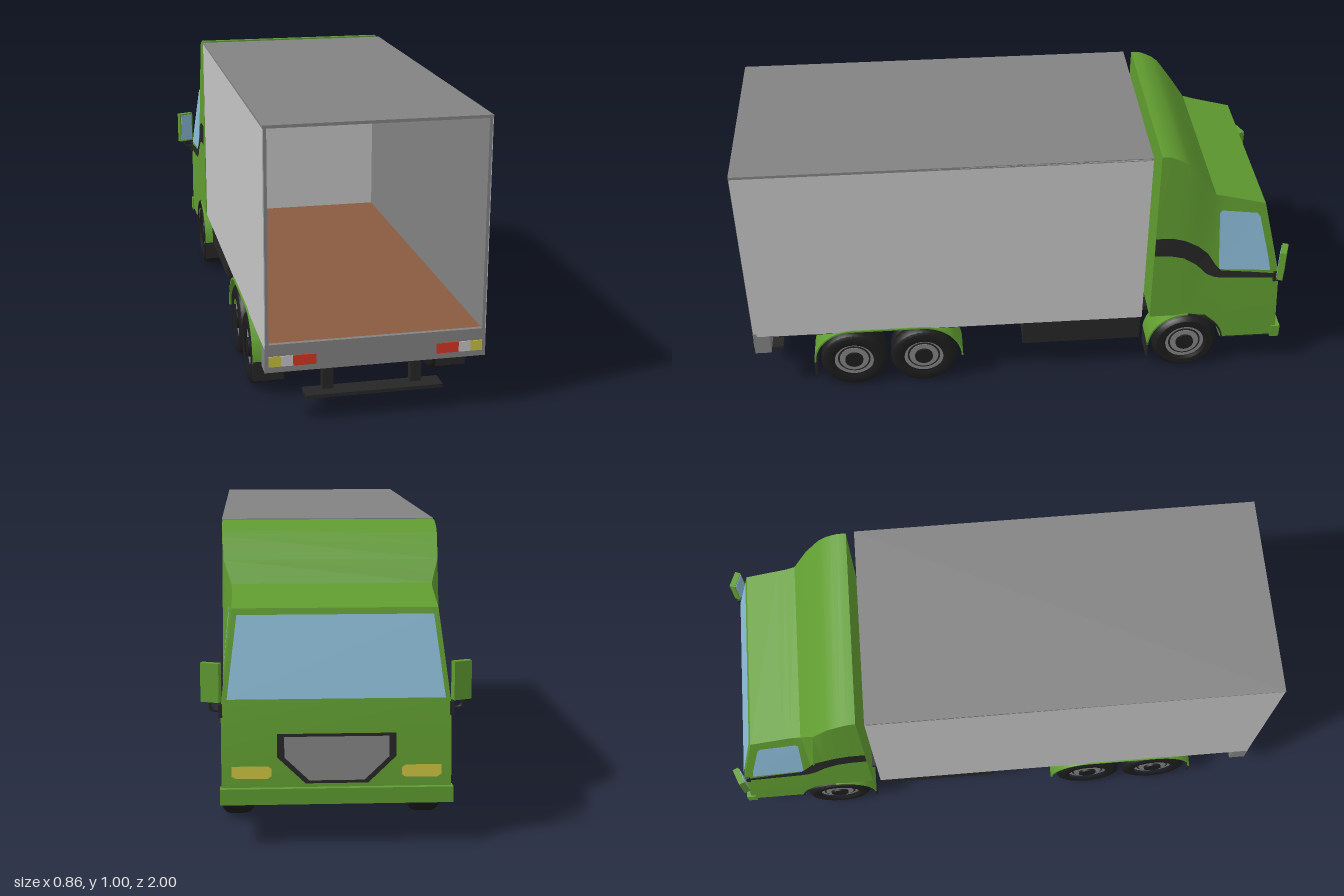
import * as THREE from 'three';
import { toCreasedNormals } from 'three/addons/utils/BufferGeometryUtils.js';

export function createModel() {
  const root = new THREE.Group();
  root.name = 'boxTruck';
  const mat = (name, color) => Object.assign(new THREE.MeshStandardMaterial({ color }), { name });
  const green = mat('cab green', 0x609c30), light = mat('panel light grey', 0xc4c4c4);
  const grey = mat('body grey', 0x828282), dark = mat('chassis black', 0x262626);
  const tyreMat = mat('tyre black', 0x1c1c1c), glass = mat('window blue', 0x8ab9d4);
  const brown = mat('floor brown', 0x8a5a40), red = mat('lamp red', 0xd43624);
  const yellow = mat('lamp yellow', 0xc8c040);

  const add = (name, geo, m, x = 0, y = 0, z = 0) => {
    const mesh = new THREE.Mesh(geo, m);
    mesh.name = name;
    mesh.position.set(x, y, z);
    root.add(mesh);
    return mesh;
  };
  // Box given by its extents
  const block = (name, m, x0, x1, y0, y1, z0, z1) =>
    add(name, new THREE.BoxGeometry(Math.abs(x1 - x0), y1 - y0, z1 - z0), m, (x0 + x1) / 2, (y0 + y1) / 2, (z0 + z1) / 2);
  const fromTriangles = (tris) => {
    const g = new THREE.BufferGeometry();
    g.setAttribute('position', new THREE.Float32BufferAttribute(tris.flat(2), 3));
    g.computeVertexNormals();
    return g;
  };
  // Flat convex panel
  const panel = (name, m, pts, flip) => {
    const p = flip ? [...pts].reverse() : pts;
    return add(name, fromTriangles(p.slice(2).map((q, i) => [p[0], p[i + 1], q])), m);
  };

  // Cab: cross-sections from the back wall to the nose
  const BELT = 0.45, HALF = 0.367;
  // [z, bottom y, top y, top half width]
  const stations = [
    [-0.49, 0.27, 1, 0.362], [-0.52, 0.27, 0.998, 0.363], [-0.545, 0.27, 0.988, 0.364], [-0.57, 0.27, 0.975, 0.364],
    [-0.595, 0.27, 0.955, 0.363], [-0.65, 0.27, 0.88, 0.358], [-0.703, 0.265, 0.807, 0.333],
    [-0.74, 0.23, 0.796, 0.33], [-0.77, 0.15, 0.788, 0.33],
  ];
  const ring = (b, m, t, w) => [
    [HALF, b[1], b[0]], [HALF, m[1], m[0]], [w, t[1], t[0]],
    [-w, t[1], t[0]], [-HALF, m[1], m[0]], [-HALF, b[1], b[0]]];
  const rings = stations.map(([z, b, t, w]) => ring([z, b], [z, BELT], [z, t], w));
  rings.push(ring([-0.985, 0.15], [-0.965, BELT], [-0.89, 0.755], 0.33));
  const tris = [];
  for (let i = 0; i < rings.length - 1; i++)
    for (let j = 0; j < 6; j++) {
      const k = (j + 1) % 6, a = rings[i][j], b = rings[i][k], c = rings[i + 1][k], d = rings[i + 1][j];
      tris.push([a, d, c], [a, c, b]);
    }
  for (const [a, b, c] of [[0, 1, 4], [0, 4, 5], [1, 2, 3], [1, 3, 4]]) {
    const f = rings[0], n = rings[rings.length - 1];
    tris.push([f[a], f[b], f[c]], [n[c], n[b], n[a]]);
  }
  add('cab', toCreasedNormals(fromTriangles(tris), 0.5), green);
  block('cabUnderside', dark, -0.365, 0.365, 0.143, 0.151, -0.98, -0.775);
  block('frontBumper', green, -0.372, 0.372, 0.14, 0.192, -1, -0.965);

  // Half width of the cab side at a given z and y
  const sideX = (z, y) => {
    if (y <= BELT) return HALF;
    let i = 0;
    while (i < stations.length - 2 && stations[i + 1][0] > z) i++;
    const [z0, , t0, w0] = stations[i], [z1, , t1, w1] = stations[i + 1];
    const f = Math.min(1, (z - z0) / (z1 - z0));
    const top = t0 + (t1 - t0) * f, w = w0 + (w1 - w0) * f;
    return HALF + (w - HALF) * (y - BELT) / (top - BELT);
  };
  const frontZ = (y) => (y < BELT ? -0.985 + 0.02 * (y - 0.15) / 0.3 : -0.965 + 0.075 * (y - BELT) / 0.305);
  const front = (name, m, pts, off) => panel(name, m, pts.map(([x, y]) => [x, y, frontZ(y) - off]), true);

  front('windshield', glass, [[-0.348, 0.475], [0.348, 0.475], [0.315, 0.735], [-0.315, 0.735]], 0.004);
  const grille = (k, cy = 0.29) => [[-0.1, 0.205], [0.1, 0.205], [0.19, 0.29], [0.19, 0.365], [-0.19, 0.365], [-0.19, 0.29]]
    .map(([x, y]) => [x * k, cy + (y - cy) * k]);
  front('grilleFrame', dark, grille(1), 0.005);
  front('grille', grey, grille(0.88), 0.008);

  // Stripe: [z, low y, high y]
  const stripe = [[-0.49, 0.565, 0.645], [-0.55, 0.563, 0.645], [-0.6, 0.55, 0.63], [-0.65, 0.515, 0.6],
    [-0.69, 0.47, 0.56], [-0.72, 0.455, 0.51], [-0.745, 0.45, 0.482], [-0.85, 0.443, 0.47], [-0.965, 0.435, 0.455]];

  for (const s of [-1, 1]) {
    const onSide = (z, y, off) => [s * (sideX(z, y) + off), y, z];
    const win = [[-0.735, 0.487], [-0.93, 0.472], [-0.918, 0.53], [-0.873, 0.705], [-0.86, 0.722], [-0.73, 0.74], [-0.722, 0.73]];
    panel('sideWindow', glass, win.map(([z, y]) => onSide(z, y, 0.004)), s < 0);
    const band = [];
    for (let i = 0; i < stripe.length - 1; i++) {
      const [z0, l0, h0] = stripe[i], [z1, l1, h1] = stripe[i + 1];
      const a = onSide(z0, l0, 0.005), b = onSide(z1, l1, 0.005), c = onSide(z1, h1, 0.005), d = onSide(z0, h0, 0.005);
      band.push(...(s > 0 ? [[a, b, c], [a, c, d]] : [[c, b, a], [d, c, a]]));
    }
    add('sideStripe', fromTriangles(band), dark);
    const lamp = [[0.22, 0.222], [0.32, 0.222], [0.335, 0.23], [0.335, 0.262], [0.22, 0.262], [0.208, 0.254], [0.208, 0.23]];
    panel('headlight', yellow, lamp.map(([x, y]) => [s * x, y, frontZ(y) - 0.006]), s > 0);

    // Door mirror on a bent arm
    const mirror = new THREE.Group();
    mirror.name = 'doorMirror';
    const shell = new THREE.Mesh(new THREE.BoxGeometry(0.062, 0.125, 0.022), green);
    const face = new THREE.Mesh(new THREE.BoxGeometry(0.052, 0.114, 0.004), glass);
    shell.name = 'mirrorShell';
    face.name = 'mirrorGlass';
    face.position.z = 0.011;
    mirror.add(shell, face);
    mirror.position.set(s * 0.397, 0.532, -0.962);
    mirror.rotation.y = -s * 0.38;
    root.add(mirror);
    const arm = new THREE.CatmullRomCurve3([[0.4, 0.475], [0.399, 0.45], [0.39, 0.443], [0.365, 0.443]]
      .map(([x, y]) => new THREE.Vector3(s * x, y, -0.962)));
    add('mirrorArm', new THREE.TubeGeometry(arm, 10, 0.006, 6), dark);
    block('mirrorBase', dark, s * 0.362, s * 0.374, 0.42, 0.462, -0.978, -0.945);
  }

  // Cargo box, open at the rear, with walls thinning towards the opening
  block('boxRoof', grey, -HALF, HALF, 0.99, 1, -0.46, 1);
  block('boxFrontWall', light, -0.363, 0.363, 0.27, 0.99, -0.46, -0.445);
  block('boxFloor', brown, -0.36, 0.36, 0.271, 0.285, -0.45, 0.985);
  block('rearSillLip', grey, -HALF, HALF, 0.19, 0.285, 0.985, 1);
  block('rearSill', grey, -HALF, HALF, 0.19, 0.271, 0.94, 0.986);
  for (const s of [-1, 1]) {
    const wall = new THREE.BoxGeometry(0.01, 0.72, 1.458);
    const p = wall.attributes.position;
    for (let i = 0; i < p.count; i++)
      if (p.getX(i) * s < 0 && p.getZ(i) < 0) p.setX(i, p.getX(i) - s * 0.014);
    wall.computeVertexNormals();
    add('boxInnerWall', wall, grey, s * 0.359, 0.63, 0.271);
    block('boxSidePanel', light, s * 0.363, s * HALF, 0.27, 0.997, -0.46, 0.998);
    // Tail lamps
    block('tailLampRed', red, s * 0.2, s * 0.275, 0.21, 0.245, 0.996, 1.003);
    block('tailLampWhite', light, s * 0.275, s * 0.315, 0.21, 0.245, 0.996, 1.003);
    block('tailLampYellow', yellow, s * 0.315, s * 0.355, 0.21, 0.245, 0.996, 1.003);
  }

  // Chassis, side tanks and rear underrun bar
  block('chassis', dark, -0.25, 0.25, 0.2, 0.268, -0.78, 0.94);
  block('cabDeck', dark, -0.305, 0.305, 0.25, 0.269, -0.78, -0.45);
  block('boxDeck', dark, -0.36, 0.36, 0.262, 0.2705, -0.46, 0.94);
  block('underrunBar', dark, -0.23, 0.23, 0.08, 0.092, 0.915, 0.985);
  for (const s of [-1, 1]) {
    block('sideTank', dark, s * 0.18, s * 0.345, 0.148, 0.265, -0.46, -0.01);
    block('underrunLeg', dark, s * 0.13, s * 0.167, 0.085, 0.21, 0.915, 0.945);
  }

  // Wheels and axles
  const HUB = 0.128;
  const tyreGeo = (w) => {
    const h = w / 2, pts = [[0.074, -h * 0.85], [0.085, -h], [0.108, -h], [0.12, -h * 0.8], [0.125, -h * 0.5],
      [0.125, h * 0.5], [0.12, h * 0.8], [0.108, h], [0.085, h], [0.074, h * 0.85]];
    const g = new THREE.LatheGeometry(pts.map(([r, y]) => new THREE.Vector2(r, y)), 32);
    return toCreasedNormals(g.rotateZ(-Math.PI / 2), 0.6);
  };
  const drum = (name, m, r, w, x, z) => add(name, new THREE.CylinderGeometry(r, r, w, 28).rotateZ(Math.PI / 2), m, x, HUB, z);
  for (const z of [-0.635, 0.37, 0.635]) {
    for (const s of [-1, 1]) {
      if (z < 0) add('frontTyre', tyreGeo(0.104), tyreMat, s * 0.318, HUB, z);
      else for (const x of [0.292, 0.344]) add('rearTyre', tyreGeo(0.052), tyreMat, s * x, HUB, z);
      drum('wheelBack', tyreMat, 0.078, 0.07, s * 0.305, z);
      drum('rim', grey, 0.078, 0.015, s * 0.349, z);
      drum('rimGroove', dark, 0.062, 0.004, s * 0.356, z);
      drum('rimCentre', grey, 0.055, 0.004, s * 0.358, z);
      drum('hub', tyreMat, 0.034, 0.014, s * 0.361, z);
    }
    drum('axle', dark, 0.026, 0.56, 0, z);
    drum('differential', dark, 0.05, 0.13, 0, z);
    add('differentialHousing', new THREE.SphereGeometry(0.055, 16, 12), dark, 0, HUB, z);
  }

  // Mudguards: thin arched shells over one or two wheels, drawn with -z to the right
  const guard = (name, m, s, R, x0, x1, a0, a1) => {
    const r = R - 0.006, mid = Math.PI / 2, sh = new THREE.Shape();
    sh.absarc(x0, HUB, R, a0, mid, true);
    sh.absarc(x1, HUB, R, mid, a1, true);
    sh.absarc(x1, HUB, r, a1, mid, false);
    sh.absarc(x0, HUB, r, mid, a0, false);
    const g = new THREE.ExtrudeGeometry(sh, { depth: 0.105, bevelEnabled: false, curveSegments: 12 });
    g.rotateY(Math.PI / 2).translate(s > 0 ? 0.267 : -0.372, 0, 0);
    add(name, toCreasedNormals(g, 0.5), m);
  };
  for (const s of [-1, 1]) {
    guard('rearMudguard', green, s, 0.15, -0.635, -0.37, Math.PI, 0);
    guard('frontMudguard', green, s, 0.148, 0.635, 0.636, Math.PI, Math.PI / 2 - 0.01);
    guard('frontArchLiner', dark, s, 0.146, 0.634, 0.635, Math.PI / 2 + 0.01, 0.15);
    block('rearMudflap', dark, s * 0.267, s * 0.372, 0.065, 0.135, 0.779, 0.785);
    block('frontMudflap', dark, s * 0.267, s * 0.372, 0.065, 0.135, -0.493, -0.487);
  }
  return root;
}
